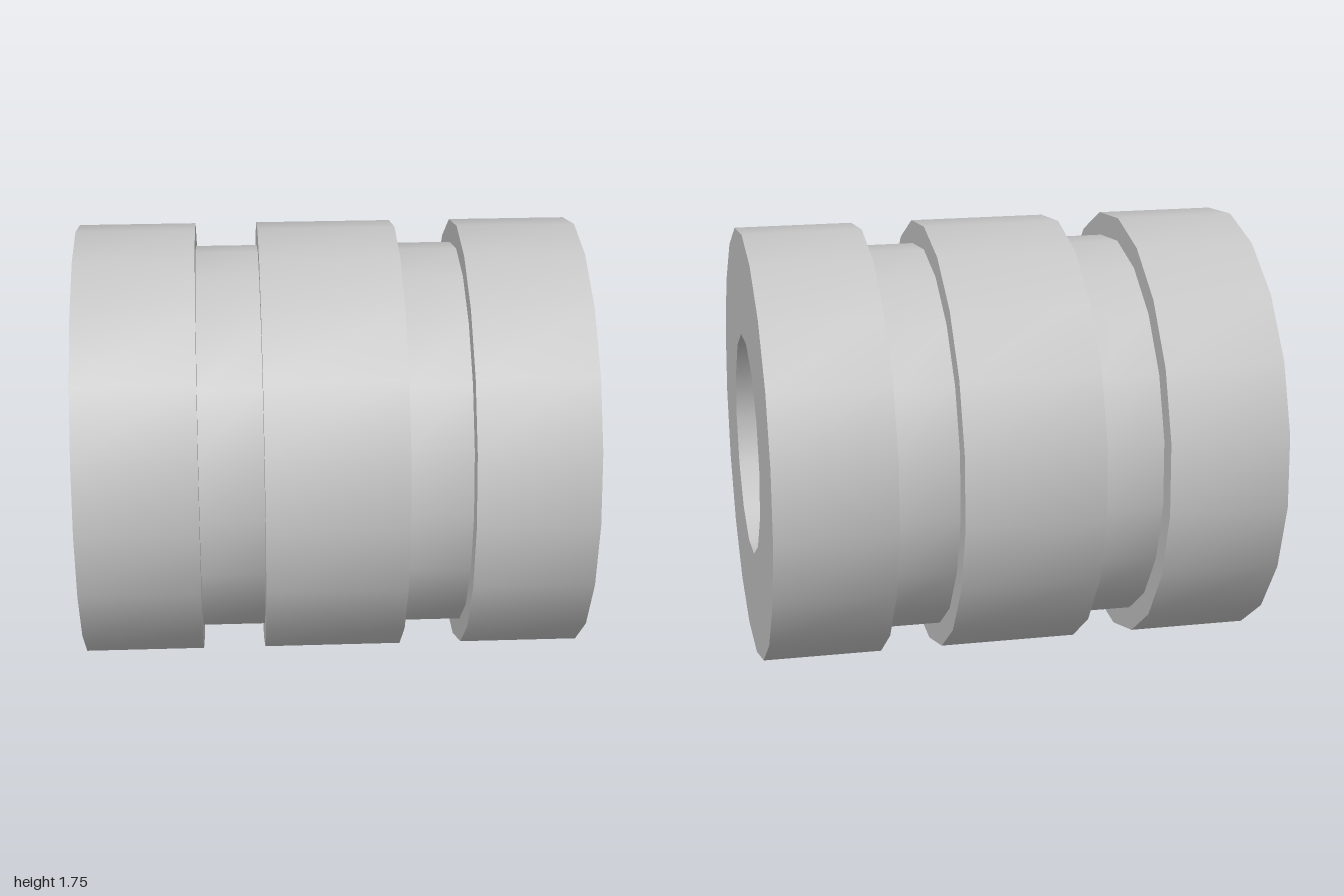
import * as THREE from 'three';
import { toCreasedNormals } from 'three/addons/utils/BufferGeometryUtils.js';

const R = 0.876, GROOVE_R = 0.782, BORE_R = 0.447;
const OUTER_SIDES = 19, BORE_SIDES = 14;
const OUTER_PHASE = THREE.MathUtils.degToRad(1.4);
const BORE_PHASE = THREE.MathUtils.degToRad(2);

// Lathe around the x axis; profile entries are [radius, x]
function turned(profile, sides, phase) {
  const points = profile.map(([r, x]) => new THREE.Vector2(r, x));
  const geometry = new THREE.LatheGeometry(points, sides, phase);
  geometry.rotateZ(-Math.PI / 2);
  return toCreasedNormals(geometry, 0.6);
}

// Polygon matching the vertices of a turned surface, seen from one end
function ring(r, sides, phase, side) {
  return Array.from({ length: sides }, (_, i) => {
    const a = phase + (i / sides) * Math.PI * 2;
    return new THREE.Vector2(-side * r * Math.cos(a), -r * Math.sin(a));
  });
}

export function createModel() {
  const group = new THREE.Group();
  const grey = new THREE.MeshStandardMaterial({ color: 0xc4c4c4 });
  grey.name = 'light grey';

  function add(name, geometry) {
    const mesh = new THREE.Mesh(geometry, grey);
    mesh.name = name;
    mesh.position.y = 0.876;
    group.add(mesh);
  }

  // Outer body with two square grooves
  add('groovedBody', turned([
    [R, -1], [R, -0.525], [GROOVE_R, -0.525], [GROOVE_R, -0.275], [R, -0.275],
    [R, 0.275], [GROOVE_R, 0.275], [GROOVE_R, 0.525], [R, 0.525], [R, 1],
  ], OUTER_SIDES, OUTER_PHASE));

  // Through hole, facing inwards
  add('bore', turned([[BORE_R, 1], [BORE_R, -1]], BORE_SIDES, BORE_PHASE));

  // Flat annular end faces
  for (const side of [1, -1]) {
    const shape = new THREE.Shape(ring(R, OUTER_SIDES, OUTER_PHASE, side));
    shape.holes.push(new THREE.Path(ring(BORE_R, BORE_SIDES, BORE_PHASE, side)));
    const face = new THREE.ShapeGeometry(shape);
    face.rotateY(side * Math.PI / 2).translate(side, 0, 0);
    add(side > 0 ? 'leftEndFace' : 'rightEndFace', face);
  }
  return group;
}
